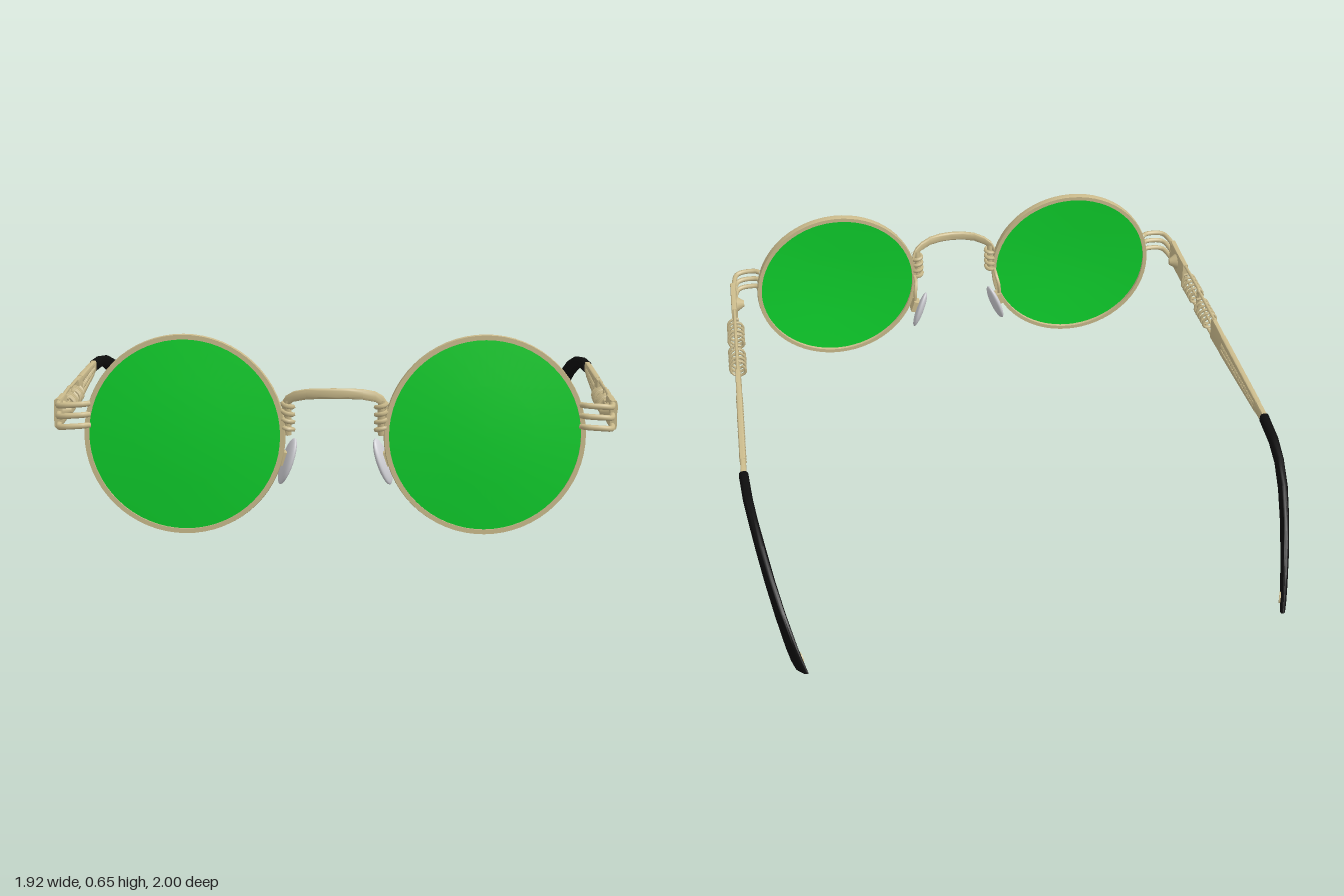
import * as THREE from 'three';
import { toCreasedNormals } from 'three/addons/utils/BufferGeometryUtils.js';

const V = (x, y, z) => new THREE.Vector3(x, y, z);

// Loft through sections { c, u, v }: centre and two half axes; p < 1 squares the outline
function loft(sections, p, n = 16) {
  const pos = [], idx = [];
  const pow = (a) => Math.sign(a) * Math.abs(a) ** p;
  for (const { c, u, v } of sections) {
    for (let j = 0; j < n; j++) {
      const a = (j / n) * Math.PI * 2;
      const q = c.clone().addScaledVector(u, pow(Math.cos(a))).addScaledVector(v, pow(Math.sin(a)));
      pos.push(q.x, q.y, q.z);
    }
  }
  const m = sections.length;
  for (let i = 0; i < m - 1; i++) {
    for (let j = 0; j < n; j++) {
      const a = i * n + j, b = i * n + ((j + 1) % n);
      idx.push(a, a + n, b, b, a + n, b + n);
    }
  }
  // end caps
  for (let j = 1; j < n - 1; j++) {
    const e = (m - 1) * n;
    idx.push(0, j, j + 1, e, e + j + 1, e + j);
  }
  const g = new THREE.BufferGeometry();
  g.setAttribute('position', new THREE.Float32BufferAttribute(pos, 3));
  g.setIndex(idx);
  return toCreasedNormals(g, 0.7);
}

// Mirror a geometry in x and restore the corner order
function mirrored(geo) {
  const g = geo.index ? geo.toNonIndexed() : geo.clone();
  g.scale(-1, 1, 1);
  for (const { array: a, itemSize: s } of Object.values(g.attributes)) {
    for (let i = 0; i < a.length; i += 3 * s) {
      for (let k = 0; k < s; k++) {
        const t = a[i + s + k];
        a[i + s + k] = a[i + 2 * s + k];
        a[i + 2 * s + k] = t;
      }
    }
  }
  return g;
}

const tube = (pts, r, seg = 24, tension = 0.5) =>
  new THREE.TubeGeometry(new THREE.CatmullRomCurve3(pts, false, 'catmullrom', tension), seg, r, 8);

// Helical wire from a to b
function coil(a, b, radius, wire, turns) {
  const q = new THREE.Quaternion().setFromUnitVectors(V(0, 0, 1), b.clone().sub(a).normalize());
  const pts = [], n = turns * 10;
  for (let i = 0; i <= n; i++) {
    const t = (i / 10) * Math.PI * 2;
    pts.push(V(Math.cos(t) * radius, Math.sin(t) * radius, 0).applyQuaternion(q).add(a.clone().lerp(b, i / n)));
  }
  return new THREE.TubeGeometry(new THREE.CatmullRomCurve3(pts), turns * 14, wire, 5);
}

// Side arm lines in plan: straight temple, then curved tip
const armX = (z) => 0.905 + (0.7 - z) * 0.041;
const tipX = (z) => 0.945 - 0.133 * ((-0.27 - z) / 0.73) ** 2;
const onArm = (z, y) => V(armX(z), y, z);

// Flat bar along the arm; rows are [z, top y, bottom y]
const bar = (rows, t = 0.01) => loft(rows.map(([z, y1, y0]) => ({
  c: onArm(z, (y1 + y0) / 2), u: V(t, 0, 0), v: V(0, (y1 - y0) / 2, 0),
})), 0.3);

export function createModel() {
  const gold = new THREE.MeshStandardMaterial({ name: 'pale gold', color: 0xcbbb8c });
  const green = new THREE.MeshStandardMaterial({ name: 'green lens', color: 0x0ed02c });
  const black = new THREE.MeshStandardMaterial({ name: 'black', color: 0x0d0d0d });
  const silver = new THREE.MeshStandardMaterial({ name: 'silver grey', color: 0xcfcfd4 });

  const model = new THREE.Group();
  model.name = 'roundGlasses';
  const sides = { left: new THREE.Group(), right: new THREE.Group() };
  for (const k in sides) {
    sides[k].name = k + 'Side';
    model.add(sides[k]);
  }
  const put = (group, name, geo, mat) => {
    const mesh = new THREE.Mesh(geo, mat);
    mesh.name = name;
    group.add(mesh);
  };
  const both = (name, geo, mat) => {
    put(sides.left, name, geo, mat);
    put(sides.right, name, mirrored(geo), mat);
  };

  // Rim and lens, slightly tilted and wrapped
  const disc = (profile) => {
    const g = new THREE.LatheGeometry(profile.map(([r, y]) => new THREE.Vector2(r, y)), 64);
    g.rotateX(Math.PI / 2).rotateX(-0.032).rotateY(0.035).translate(0.48, 0.325, 0.931);
    return toCreasedNormals(g, 0.6);
  };
  both('rim', disc([[0.307, -0.014], [0.322, -0.014], [0.324, 0], [0.322, 0.012], [0.307, 0.012], [0.307, -0.014]]), gold);
  both('lens', disc([[0, 0.012], [0.16, 0.008], [0.309, -0.002], [0.309, 0.006], [0.16, 0.017], [0, 0.021]]), green);

  // Bridge band
  const half = [[0.168, 0.415, 0.935], [0.155, 0.437, 0.945], [0.13, 0.454, 0.958], [0.09, 0.465, 0.977], [0.045, 0.469, 0.988]];
  const arch = [
    ...half.map(([x, y, z]) => [-x, y, z]), [0, 0.47, 0.991], ...half.slice().reverse(),
  ];
  put(model, 'bridge', loft(arch.map(([x, y, z]) => ({
    c: V(x, y, z), u: V(0, 0, 0.009), v: V(0, 0.017, 0),
  })), 0.6), gold);

  // Bridge legs wrapped in wire
  both('bridgeLeg', tube([V(0.15, 0.44, 0.945), V(0.149, 0.38, 0.94), V(0.15, 0.325, 0.936)], 0.012), gold);
  both('bridgeCoil', coil(V(0.149, 0.43, 0.944), V(0.149, 0.33, 0.937), 0.017, 0.008, 4), gold);

  // Nose pad, its mount and wire
  const pad = new THREE.SphereGeometry(1, 24, 16);
  pad.scale(0.015, 0.08, 0.04).rotateY(-0.35).rotateZ(0.33).translate(0.155, 0.22, 0.855);
  both('nosePad', pad, silver);
  const mount = new THREE.BoxGeometry(0.025, 0.045, 0.04);
  mount.rotateZ(0.33).translate(0.174, 0.236, 0.866);
  both('padMount', mount, gold);
  both('padWire', tube([V(0.165, 0.335, 0.925), V(0.165, 0.33, 0.885), V(0.172, 0.295, 0.862), V(0.175, 0.24, 0.866)], 0.007), gold);

  // Three prongs wrapping from rim to hinge plate
  for (const y of [0.415, 0.38, 0.345]) {
    both('hingeProng', tube([
      V(0.785, y + 0.008, 0.925), V(0.81, y + 0.008, 0.942), V(0.86, y + 0.005, 0.943),
      V(0.885, y, 0.92), V(0.897, y - 0.003, 0.84),
    ], 0.0095), gold);
  }
  both('hingePlate', bar([[0.865, 0.425, 0.33], [0.8, 0.418, 0.325], [0.69, 0.412, 0.32]], 0.011), gold);
  const knob = new THREE.CylinderGeometry(0.012, 0.032, 0.03, 16);
  knob.rotateZ(Math.PI / 2).translate(0.878, 0.375, 0.785);
  both('hingeKnob', knob, gold);

  // Interlocked wire loops holding two springs
  const loop = (pts) => tube(pts.map(([z, y]) => onArm(z, y)), 0.006, 60, 0.1);
  both('frontWireLoop', loop([[0.71, 0.405], [0.53, 0.402], [0.507, 0.395], [0.505, 0.36], [0.507, 0.314], [0.53, 0.311], [0.71, 0.325]]), gold);
  both('rearWireLoop', loop([[0.31, 0.386], [0.5, 0.396], [0.522, 0.388], [0.525, 0.35], [0.522, 0.315], [0.5, 0.308], [0.31, 0.306]]), gold);
  both('frontSpring', coil(onArm(0.66, 0.36), onArm(0.53, 0.357), 0.029, 0.0055, 5), gold);
  both('rearSpring', coil(onArm(0.49, 0.35), onArm(0.36, 0.347), 0.029, 0.0055, 5), gold);
  both('springRod', tube([onArm(0.69, 0.36), onArm(0.5, 0.354), onArm(0.32, 0.347)], 0.005), gold);

  // Slotted temple with a fine coil in the slot
  both('templeHead', bar([[0.325, 0.39, 0.298], [0.2, 0.382, 0.3]]), gold);
  both('templeTopBar', bar([[0.21, 0.383, 0.356], [-0.2, 0.359, 0.344]]), gold);
  both('templeBottomBar', bar([[0.21, 0.325, 0.3], [-0.2, 0.325, 0.311]]), gold);
  both('templeTail', bar([[-0.18, 0.36, 0.311], [-0.28, 0.354, 0.315]]), gold);
  both('slotCoil', coil(onArm(0.21, 0.34), onArm(-0.19, 0.335), 0.009, 0.0045, 24), gold);

  // Black flared tip; rows are [top z, top y, bottom z, bottom y, half thickness]
  const tip = [
    [-0.27, 0.356, -0.27, 0.313, 0.017], [-0.4, 0.35, -0.4, 0.309, 0.017],
    [-0.51, 0.335, -0.49, 0.291, 0.016], [-0.62, 0.298, -0.58, 0.248, 0.016],
    [-0.72, 0.237, -0.67, 0.18, 0.015], [-0.82, 0.166, -0.76, 0.105, 0.014],
    [-0.92, 0.098, -0.84, 0.034, 0.012], [-0.965, 0.07, -0.88, 0.008, 0.011],
    [-1, 0.051, -0.915, 0.002, 0.009],
  ];
  both('templeTip', loft(tip.map(([z1, y1, z0, y0, t]) => {
    const a = V(tipX(z1), y1, z1), b = V(tipX(z0), y0, z0);
    return { c: a.clone().add(b).multiplyScalar(0.5), u: V(t, 0, 0), v: a.sub(b).multiplyScalar(0.5) };
  }), 0.7), black);

  // Gold dot inside the tip
  const dot = new THREE.CylinderGeometry(0.02, 0.02, 0.009, 20);
  dot.rotateZ(Math.PI / 2).rotateY(0.35).translate(tipX(-0.92) - 0.011, 0.052, -0.92);
  both('tipDot', dot, gold);

  return model;
}
